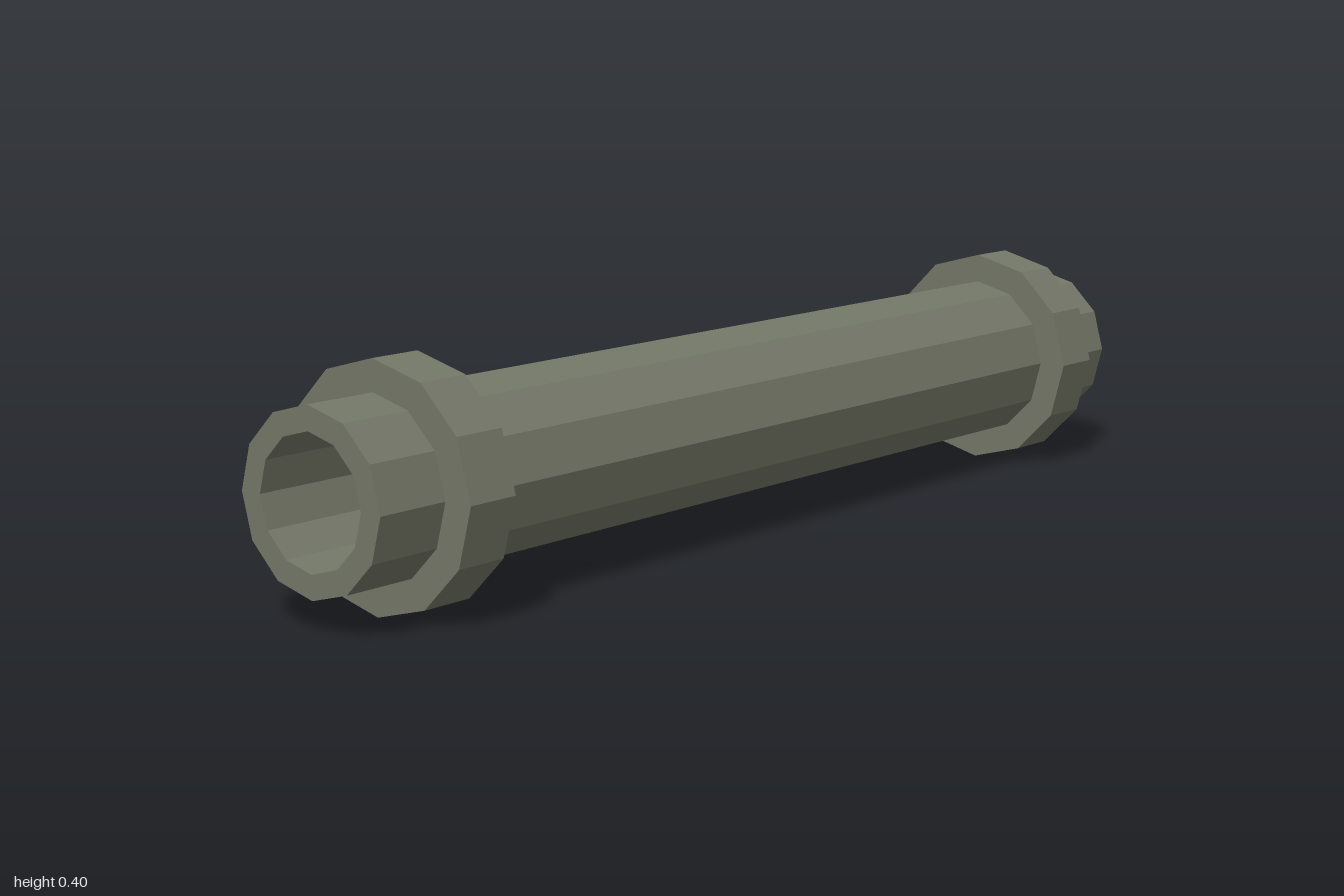
import * as THREE from 'three';

const SIDES = 12;
const AXIS_HEIGHT = 0.2;
const PIPE_RADIUS = 0.148;
const BORE_RADIUS = 0.108;
const COLLAR_RADIUS = 0.2;

// Revolves a [radius, x] profile around the pipe's long axis
function revolve(name, profile, material) {
  const points = profile.map(([r, x]) => new THREE.Vector2(r, x));
  const geometry = new THREE.LatheGeometry(points, SIDES).rotateZ(-Math.PI / 2);
  const mesh = new THREE.Mesh(geometry, material);
  mesh.name = name;
  mesh.position.y = AXIS_HEIGHT;
  return mesh;
}

export function createModel() {
  const group = new THREE.Group();
  group.name = 'pipe';

  const metal = new THREE.MeshStandardMaterial({ color: 0x737767, flatShading: true });
  metal.name = 'grey green metal';

  // Hollow tube: outer wall, end rim, bore, other rim
  group.add(revolve('tube', [
    [PIPE_RADIUS, -1], [PIPE_RADIUS, 1], [BORE_RADIUS, 1], [BORE_RADIUS, -1], [PIPE_RADIUS, -1],
  ], metal));

  // Raised collar near each end
  for (const [name, side] of [['leftCollar', 1], ['rightCollar', -1]]) {
    const collar = revolve(name, [
      [PIPE_RADIUS, -0.048], [COLLAR_RADIUS, -0.048], [COLLAR_RADIUS, 0.048], [PIPE_RADIUS, 0.048],
    ], metal);
    collar.position.x = side * 0.819;
    group.add(collar);
  }

  return group;
}
